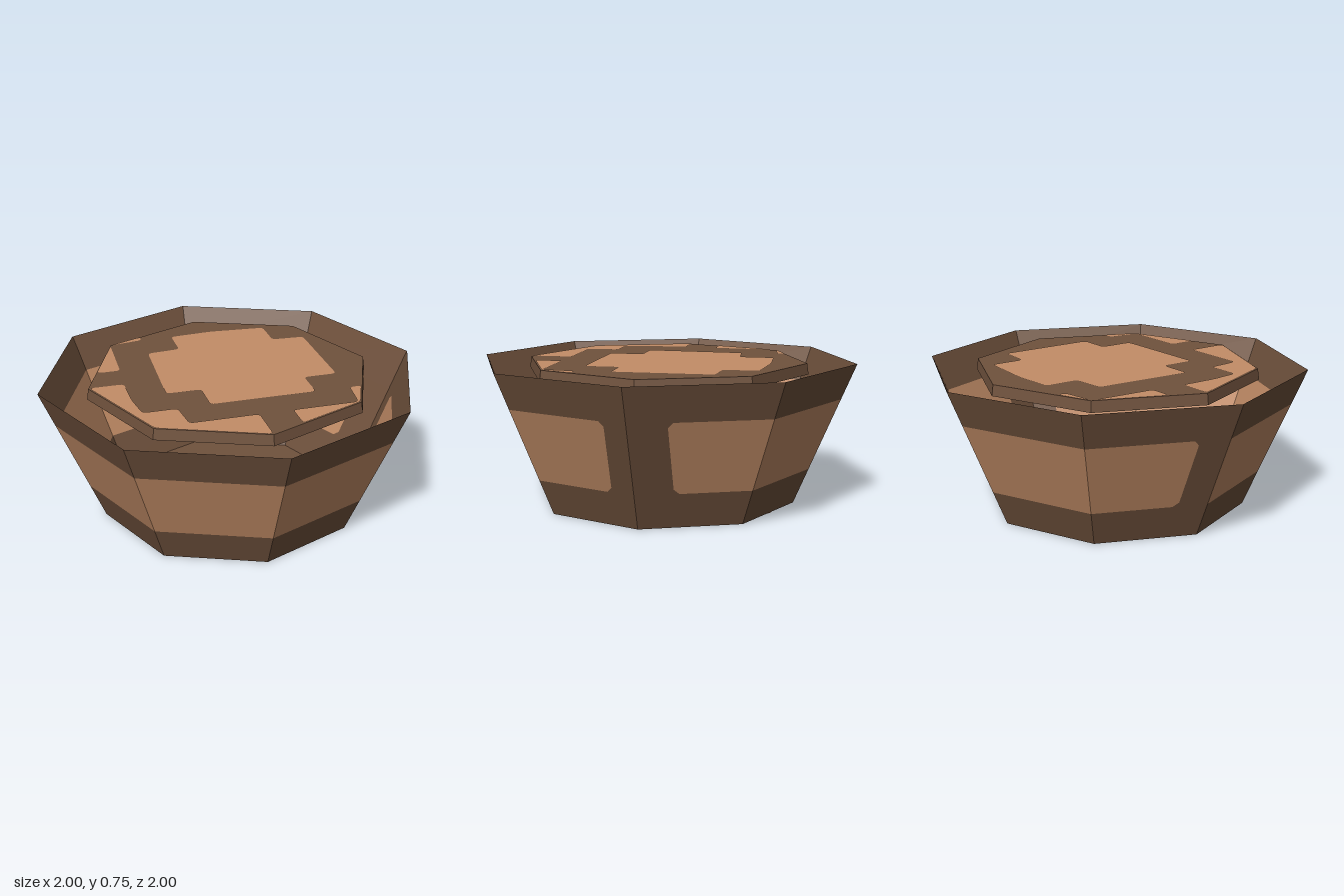
import * as THREE from 'three';

const H = 0.745, R0 = 0.685, R1 = 1, Y_LOW = 0.185, Y_HIGH = 0.56, CORNER = 0.025;
const radiusAt = (y) => R0 + (R1 - R0) * y / H;

// Point on wall side i (of eight), at fraction t along it and height y
function wallPoint(i, t, y, inset = 0) {
  const a = i * Math.PI / 4, b = a + Math.PI / 4, r = radiusAt(y) - inset;
  return [
    r * (Math.cos(a) * (1 - t) + Math.cos(b) * t), y,
    r * (Math.sin(a) * (1 - t) + Math.sin(b) * t),
  ];
}

// Wall panels of one shell; gaps[i] = [start, end] widths left dark beside a light panel
function wallGeometries(gaps, inward) {
  const dark = [], light = [], inset = inward ? 0.003 : 0;
  const quad = (out, i, left, right, y0, y1) => {
    const a = wallPoint(i, left(y0), y0, inset), b = wallPoint(i, right(y0), y0, inset);
    const c = wallPoint(i, right(y1), y1, inset), d = wallPoint(i, left(y1), y1, inset);
    out.push(...(inward ? [a, b, c, a, c, d] : [a, d, c, a, c, b]).flat());
  };
  const zero = () => 0, one = () => 1;
  const rows = [Y_LOW, Y_LOW + CORNER, Y_HIGH - CORNER, Y_HIGH];
  for (let i = 0; i < 8; i++) {
    const [g0, g1] = gaps[i] ?? [0, 0];
    // Panel ends are trimmed at the corners
    const width = (g, y) => {
      const trim = y === Y_LOW || y === Y_HIGH ? CORNER : 0;
      return g ? (g + trim) / (Math.SQRT1_2 * radiusAt(y)) : 0;
    };
    const start = (y) => width(g0, y), end = (y) => 1 - width(g1, y);
    quad(dark, i, zero, one, 0, Y_LOW);
    quad(dark, i, zero, one, Y_HIGH, H);
    for (let k = 0; k < 3; k++) {
      quad(light, i, start, end, rows[k], rows[k + 1]);
      if (g0) quad(dark, i, zero, start, rows[k], rows[k + 1]);
      if (g1) quad(dark, i, end, one, rows[k], rows[k + 1]);
    }
  }
  return [dark, light].map((p) => {
    const g = new THREE.BufferGeometry();
    g.setAttribute('position', new THREE.Float32BufferAttribute(p, 3));
    g.computeVertexNormals();
    return g;
  });
}

// Flat horizontal patch from [x, z] points with softened corners, facing up
function patch(points, round = 0.025) {
  const pts = points.map(([x, z]) => new THREE.Vector2(x, -z));
  const shape = new THREE.Shape();
  pts.forEach((p, k) => {
    const toward = (q) => p.clone().lerp(q, Math.min(0.4, round / p.distanceTo(q)));
    const before = toward(pts[(k + pts.length - 1) % pts.length]);
    const after = toward(pts[(k + 1) % pts.length]);
    if (k) shape.lineTo(before.x, before.y);
    else shape.moveTo(before.x, before.y);
    shape.quadraticCurveTo(p.x, p.y, after.x, after.y);
  });
  shape.closePath();
  return new THREE.ShapeGeometry(shape, 4).rotateX(-Math.PI / 2);
}

export function createModel() {
  const group = new THREE.Group();
  const material = (name, color) =>
    new THREE.MeshStandardMaterial({ name, color, flatShading: true, side: THREE.DoubleSide });
  const darkBrown = material('darkBrown', 0x70523d);
  const lightBrown = material('lightBrown', 0xc38d67);
  const add = (name, geometry, mat, y = 0) => {
    const mesh = new THREE.Mesh(geometry, mat);
    mesh.name = name;
    mesh.position.y = y;
    group.add(mesh);
  };

  // Flared eight-sided wall, outside and inside
  const [outerDark, outerLight] = wallGeometries({ 0: [0.12, 0], 4: [0.14, 0], 7: [0, 0.18] }, false);
  add('outerWallBands', outerDark, darkBrown);
  add('outerWallPanels', outerLight, lightBrown);
  const [innerDark, innerLight] = wallGeometries({ 0: [0.12, 0], 7: [0, 0.18] }, true);
  add('innerWallBands', innerDark, darkBrown);
  add('innerWallPanels', innerLight, lightBrown);

  // Floor with a ragged light patch and edge flecks underneath
  add('floor', new THREE.CircleGeometry(R0, 8).rotateX(Math.PI / 2), darkBrown, 0.003);
  const ragged = Array.from({ length: 80 }, (_, k) => {
    const a = k * Math.PI / 40, r = k % 4 < 2 ? 0.595 : 0.56;
    return [0.03 + r * Math.cos(a), -0.035 + r * Math.sin(a)];
  });
  add('undersidePatch', patch(ragged), lightBrown);
  for (const i of [2, 3]) {
    for (const t of [0.15, 0.6]) {
      const corners = [[t, 0], [t + 0.2, 0], [t + 0.16, 0.025], [t + 0.04, 0.025]];
      const fleck = corners.map(([s, inset]) => {
        const [x, , z] = wallPoint(i, s, 0, inset);
        return [x, z];
      });
      add('undersideFleck', patch(fleck, 0.01), lightBrown);
    }
  }

  // Eight-sided slab level with the rim
  const slabHeight = 0.057;
  add('slab', new THREE.CylinderGeometry(0.744, 0.752, slabHeight, 8), darkBrown, H - 0.003 - slabHeight / 2);

  // Light patches on the slab
  const patches = {
    centrePatch: [[-0.18, -0.55], [0.05, -0.565], [0.35, -0.54], [0.35, -0.36], [0.525, -0.35], [0.525, 0.17],
      [0.35, 0.17], [0.35, 0.35], [-0.2, 0.35], [-0.2, 0.17], [-0.38, 0.17], [-0.355, -0.355], [-0.18, -0.37]],
    backPatch: [[-0.525, -0.525], [-0.35, -0.595], [-0.35, -0.55], [-0.48, -0.53]],
    rightPatch: [[-0.53, -0.51], [-0.545, -0.175], [-0.665, -0.175]],
    frontRightPatch: [[-0.738, 0], [-0.56, 0], [-0.56, 0.2], [-0.54, 0.35], [-0.365, 0.35], [-0.35, 0.52],
      [0, 0.52], [0, 0.738], [-0.522, 0.522]],
    frontLeftPatch: [[0.17, 0.52], [0.51, 0.52], [0.53, 0.35], [0.593, 0.35], [0.522, 0.522], [0.17, 0.667]],
  };
  for (const [name, points] of Object.entries(patches)) add(name, patch(points), lightBrown, H);

  return group;
}
